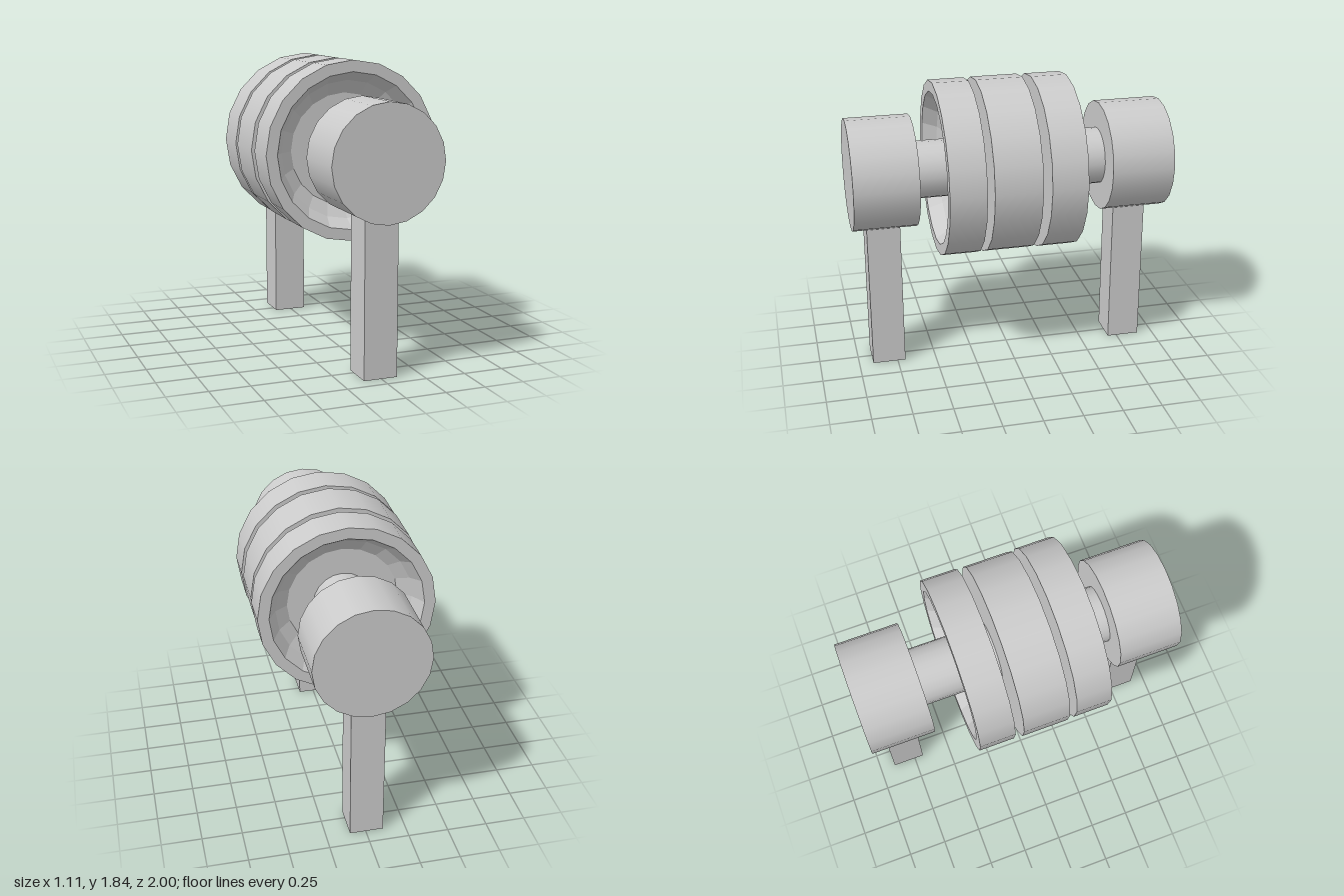
import * as THREE from 'three';

const SIDES = 20;
const AXLE_Y = 1.285;
const smooth = new THREE.MeshStandardMaterial({ color: 0xcccccc });
const faceted = new THREE.MeshStandardMaterial({ color: 0xcccccc, flatShading: true });

// Cylinder lying along z between two depths
function drum(name, radius, z0, z1, open = false) {
  const geo = new THREE.CylinderGeometry(radius, radius, z1 - z0, SIDES, 1, open);
  geo.rotateX(Math.PI / 2);
  const mesh = new THREE.Mesh(geo, smooth);
  mesh.name = name;
  mesh.position.set(0, AXLE_Y, (z0 + z1) / 2);
  return mesh;
}

// Turned surface around the z axis, profile given as [radius, z]
function turned(name, profile) {
  const geo = new THREE.LatheGeometry(profile.map(p => new THREE.Vector2(...p)), SIDES);
  geo.rotateX(Math.PI / 2);
  const mesh = new THREE.Mesh(geo, faceted);
  mesh.name = name;
  mesh.position.y = AXLE_Y;
  return mesh;
}

// Wheel with a dished outer face and a flat inner face
function dishedWheel() {
  const wheel = new THREE.Group();
  wheel.add(
    drum('wheelRim', 0.55, 0.235, 0.46, true),
    turned('wheelBack', [[0, 0.235], [0.55, 0.235]]),
    turned('wheelDish', [[0.55, 0.46], [0.48, 0.46], [0.425, 0.37], [0.345, 0.315], [0, 0.315]]),
  );
  return wheel;
}

export function createModel() {
  const model = new THREE.Group();
  model.name = 'rollerStand';

  // Shaft and central wheel
  model.add(drum('shaft', 0.18, -0.65, 0.65));
  const centre = drum('centreWheel', 0.55, -0.105, 0.19);
  centre.position.x = -0.005;
  model.add(centre);

  // Wheel, end block and leg at each end
  for (const [end, turn] of [['front', 0], ['back', Math.PI]]) {
    const wheel = dishedWheel();
    wheel.name = end + 'Wheel';
    wheel.rotation.y = turn;
    if (turn) wheel.position.z = 0.077;
    model.add(wheel);

    const side = turn ? -1 : 1;
    const block = drum(end + 'EndBlock', 0.35, 0.6, 1);
    block.position.z *= side;
    model.add(block);

    const leg = new THREE.Mesh(new THREE.BoxGeometry(0.21, 1.0, 0.21), smooth);
    leg.name = end + 'Leg';
    leg.position.set(-0.005, 0.5, turn ? -0.795 : 0.805);
    model.add(leg);
  }
  return model;
}
